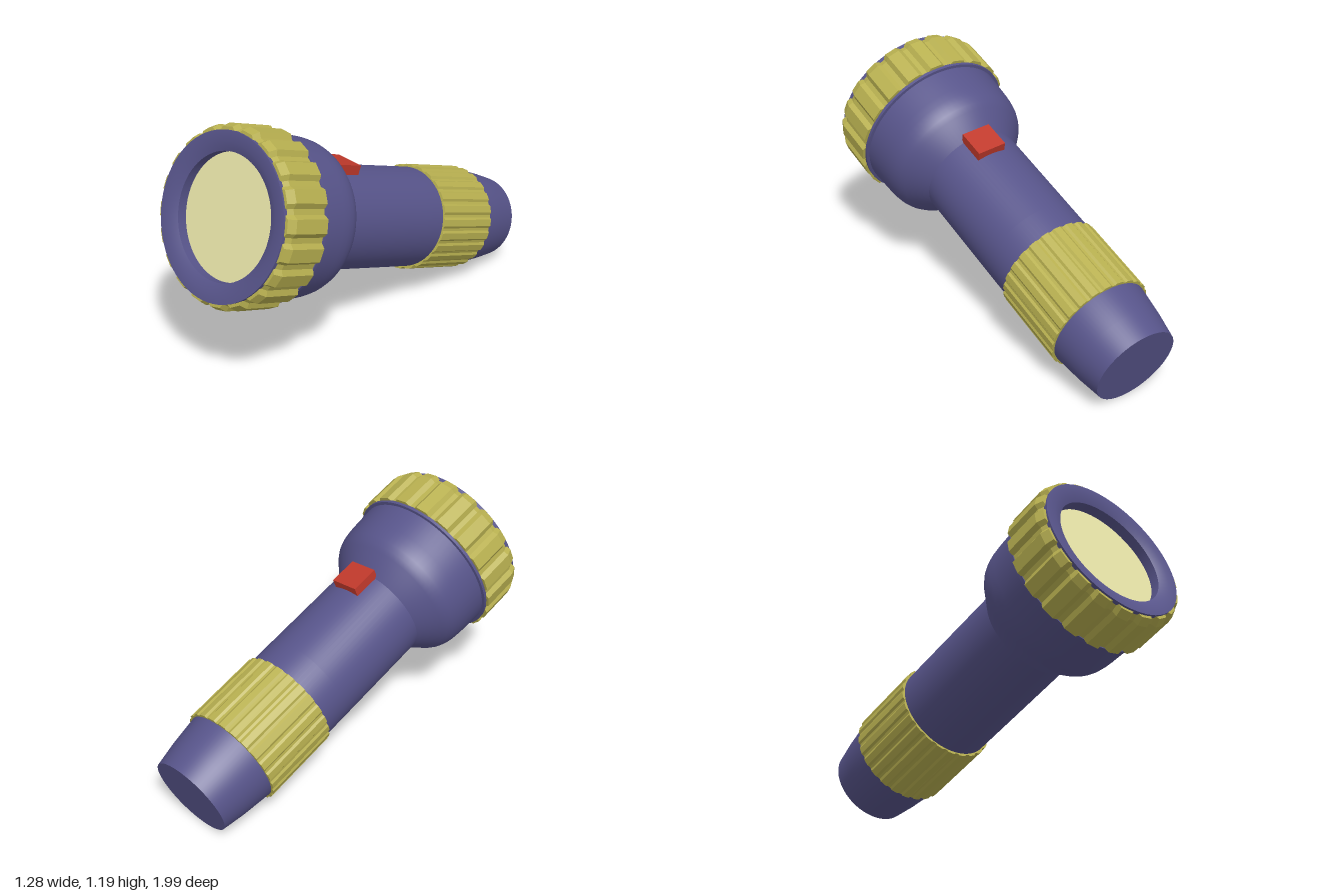
import * as THREE from 'three';
import { toCreasedNormals } from 'three/addons/utils/BufferGeometryUtils.js';

const paint = (color) => new THREE.MeshStandardMaterial({ color });

// Turned part; points are [radius, distance along the torch from the tail]
function turned(points) {
  const profile = points.map(([r, t]) => new THREE.Vector2(r, t));
  return toCreasedNormals(new THREE.LatheGeometry(profile, 72), 0.45);
}

// Ribbed grip ring along +y, with its front end optionally chamfered
function gripRing({ teeth, land, valley, hole, length, steps, frontScale }) {
  const shape = new THREE.Shape();
  const pitch = (Math.PI * 2) / teeth;
  for (let i = 0; i < teeth; i++) {
    [[0, valley], [0.2, valley], [0.36, land], [0.84, land]].forEach(([f, r], k) => {
      const a = (i + f) * pitch;
      const x = r * Math.cos(a), y = r * Math.sin(a);
      if (i === 0 && k === 0) shape.moveTo(x, y);
      else shape.lineTo(x, y);
    });
  }
  shape.closePath();
  shape.holes.push(new THREE.Path().absarc(0, 0, hole, 0, Math.PI * 2, true));
  const geo = new THREE.ExtrudeGeometry(shape, {
    depth: length, steps, bevelEnabled: false, curveSegments: 32,
  });
  const p = geo.attributes.position;
  for (let i = 0; i < p.count; i++) {
    const r = Math.hypot(p.getX(i), p.getY(i));
    if (p.getZ(i) > length - 1e-4 && r > hole + 0.005) {
      p.setX(i, p.getX(i) * frontScale);
      p.setY(i, p.getY(i) * frontScale);
    }
  }
  geo.computeVertexNormals();
  return geo.rotateX(-Math.PI / 2);
}

export function createModel() {
  const model = new THREE.Group();
  const torch = new THREE.Group();
  torch.name = 'flashlight';
  model.add(torch);

  const blue = paint(0x57548a);
  const gold = paint(0xb8b050);
  const red = paint(0xc0392b);
  const glass = paint(0xe8e4a8);

  const add = (name, geometry, material, y = 0) => {
    const mesh = new THREE.Mesh(geometry, material);
    mesh.name = name;
    mesh.position.y = y;
    torch.add(mesh);
    return mesh;
  };

  // Tail cap, barrel, flared head and recessed front bezel in one turned shell
  add('body', turned([
    [0, 0], [0.211, 0], [0.232, 0.12], [0.25, 0.27],
    [0.251, 0.8], [0.251, 1.34],
    [0.335, 1.43], [0.352, 1.455], [0.364, 1.485], [0.371, 1.52], [0.375, 1.56], [0.382, 1.69],
    [0.397, 1.692], [0.397, 1.708], [0.378, 1.71],
    [0.38, 1.95], [0.332, 1.95], [0.288, 1.93], [0.288, 1.86],
  ]), blue);

  // Lens disc set back in the bezel
  add('lens', new THREE.CylinderGeometry(0.289, 0.289, 0.02, 72), glass, 1.872);

  // Ribbed grips
  add('headGrip', gripRing({
    teeth: 20, land: 0.412, valley: 0.392, hole: 0.36, length: 0.235, steps: 6, frontScale: 0.958,
  }), gold, 1.706);
  add('tailGrip', gripRing({
    teeth: 24, land: 0.265, valley: 0.257, hole: 0.235, length: 0.395, steps: 1, frontScale: 1,
  }), gold, 0.272);

  // Switch on top of the barrel, rolled slightly to one side
  const roll = 0.1;
  const button = add('switch', new THREE.BoxGeometry(0.148, 0.145, 0.07), red, 1.281);
  button.position.x = -Math.sin(roll) * 0.252;
  button.position.z = Math.cos(roll) * 0.252;
  button.rotation.y = -roll;

  // Tilt the torch: tail low at the back, head raised at the front
  const axis = new THREE.Vector3(-0.42, 0.36, 1).normalize();
  const up = new THREE.Vector3(0, 1, 0).addScaledVector(axis, -axis.y).normalize();
  const side = new THREE.Vector3().crossVectors(axis, up);
  torch.quaternion.setFromRotationMatrix(new THREE.Matrix4().makeBasis(side, axis, up));
  torch.position.set(0.44, 0.203, -0.897);
  return model;
}
